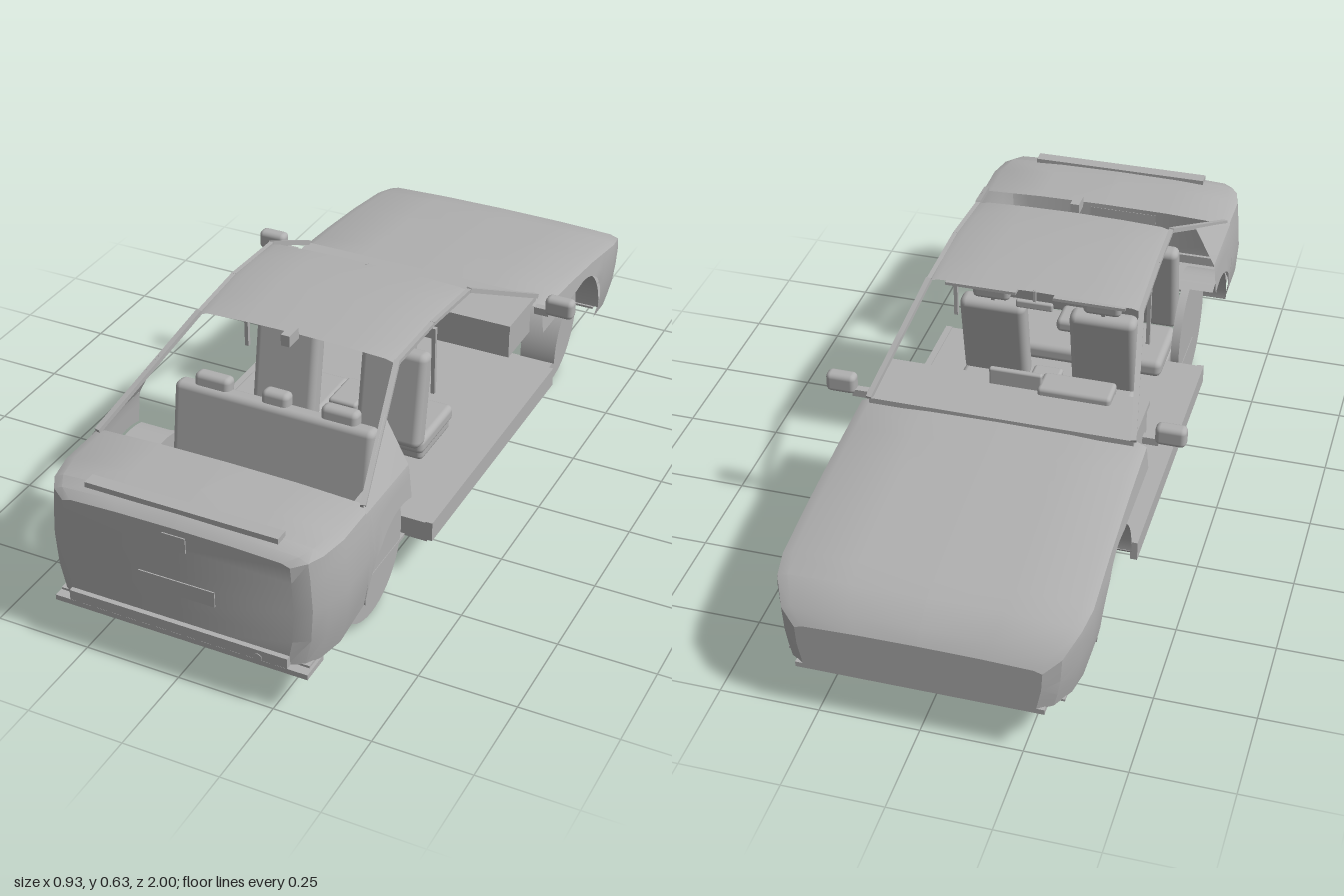
import * as THREE from 'three';
import { toCreasedNormals } from 'three/addons/utils/BufferGeometryUtils.js';
import { RoundedBoxGeometry } from 'three/addons/geometries/RoundedBoxGeometry.js';

const WHEEL_R = 0.165, ARCH_R = 0.172, REAR_AXLE = 0.583, FRONT_AXLE = -0.6;

export function createModel() {
  const car = new THREE.Group();
  car.name = 'car';
  const grey = new THREE.MeshStandardMaterial({ color: 0xb0b0b0, side: THREE.DoubleSide });
  grey.name = 'grey';

  const add = (name, geo, x = 0, y = 0, z = 0, tilt = 0) => {
    const m = new THREE.Mesh(geo, grey);
    m.name = name;
    m.position.set(x, y, z);
    m.rotation.x = tilt;
    car.add(m);
    return m;
  };
  // box given by its extents
  const box = (name, x0, x1, y0, y1, z0, z1) =>
    add(name, new THREE.BoxGeometry(x1 - x0, y1 - y0, z1 - z0), (x0 + x1) / 2, (y0 + y1) / 2, (z0 + z1) / 2);
  const soft = (name, w, h, d, x, y, z, tilt = 0) =>
    add(name, new RoundedBoxGeometry(w, h, d, 3, Math.min(w, h, d) * 0.35), x, y, z, tilt);
  // square bar between two points
  const bar = (name, a, b, w, d) => {
    const p = new THREE.Vector3(...a), q = new THREE.Vector3(...b);
    const m = add(name, new THREE.BoxGeometry(w, d, p.distanceTo(q)));
    m.position.copy(p).add(q).multiplyScalar(0.5);
    m.lookAt(q);
  };
  // surface through rows of points
  const skin = (name, rows, flip = false) => {
    const pos = [], idx = [], n = rows[0].length;
    rows.forEach((r) => r.forEach((p) => pos.push(...p)));
    for (let i = 0; i < rows.length - 1; i++) {
      for (let j = 0; j < n - 1; j++) {
        const a = i * n + j, b = a + 1, c = a + n, d = c + 1;
        if (flip) idx.push(a, b, c, b, d, c);
        else idx.push(a, c, b, b, c, d);
      }
    }
    const g = new THREE.BufferGeometry();
    g.setAttribute('position', new THREE.Float32BufferAttribute(pos, 3));
    g.setIndex(idx);
    g.computeVertexNormals();
    add(name, toCreasedNormals(g, 0.5));
  };

  // body side half-width by height
  const sideX = [[0.1, 0.345], [0.2, 0.37], [0.3, 0.377], [0.41, 0.367], [0.45, 0.355]];
  const lerpTable = (t, v, k) => {
    let i = 0;
    while (i < t.length - 2 && v > t[i + 1][0]) i++;
    const f = Math.min(1, Math.max(0, (v - t[i][0]) / (t[i + 1][0] - t[i][0])));
    return t[i][k] + (t[i + 1][k] - t[i][k]) * f;
  };

  // half body shell: stations are [z, width scale, shoulder y, crown y, bottom y]
  function shell(name, stations, z0, z1, axle, top, capped, lift) {
    const zs = new Set([z0, z1]);
    for (const s of stations) if (s[0] > z0 && s[0] < z1) zs.add(s[0]);
    for (let i = 0; i <= 24; i++) {
      const z = axle + ARCH_R * Math.cos((i / 24) * Math.PI);
      if (z > z0 && z < z1) zs.add(z);
    }
    const list = [...zs].sort((a, b) => a - b);
    for (const s of [1, -1]) {
      const section = (z, flat) => {
        const w = lerpTable(stations, z, 1), sh = lerpTable(stations, z, 2);
        const cr = lerpTable(stations, z, 3);
        let yb = lerpTable(stations, z, 4);
        const d = Math.abs(z - axle);
        if (d < ARCH_R) yb = Math.max(yb, WHEEL_R + Math.sqrt(ARCH_R ** 2 - d * d));
        if (lift && z > axle) yb = Math.max(yb, 0.333);
        const pts = [0, 0.25, 0.55, 0.85, 1].map((t) => {
          const y = yb + (sh - yb) * t;
          return [flat ? 0 : s * w * lerpTable(sideX, y, 1), y, z];
        });
        if (top) {
          const ex = pts[4][0];
          for (const [u, v] of [[0.93, 0.55], [0.5, 0.9], [0, 1]]) pts.push([ex * u, sh + (cr - sh) * v, z]);
        }
        return pts;
      };
      const rows = list.map((z) => section(z, false));
      if (capped === 'rear') rows.push(section(z1, true));
      if (capped === 'front') rows.unshift(section(z0, true));
      skin(name, rows, s > 0);
    }
  }

  const rear = [[0.525, 1, 0.418, 0.43, 0.13], [0.73, 1, 0.422, 0.44, 0.13], [0.86, 1, 0.422, 0.445, 0.13],
    [0.93, 0.96, 0.42, 0.443, 0.13], [0.965, 0.9, 0.415, 0.435, 0.13], [0.985, 0.8, 0.405, 0.418, 0.13]];
  const front = [[-1, 0.79, 0.25, 0.262, 0.14], [-0.975, 0.89, 0.28, 0.295, 0.138], [-0.915, 0.97, 0.32, 0.335, 0.133],
    [-0.85, 1, 0.333, 0.35, 0.13], [-0.68, 1, 0.36, 0.378, 0.13], [-0.5, 1, 0.38, 0.4, 0.13], [-0.305, 1, 0.395, 0.418, 0.13]];
  shell('rearQuarterPanel', rear, 0.525, 0.73, REAR_AXLE, false, '', false);
  shell('rearBody', rear, 0.73, 0.985, REAR_AXLE, true, 'rear', false);
  shell('frontBody', front, -1, -0.305, FRONT_AXLE, true, 'front', true);

  // roof
  const roof = [[-0.01, 0.6, 0.285], [0.09, 0.613, 0.281], [0.2, 0.618, 0.277], [0.3, 0.615, 0.273], [0.39, 0.606, 0.268]];
  skin('roof', roof.map(([z, y, w]) => [-1, -0.9, -0.5, 0, 0.5, 0.9, 1].map((u) =>
    [u * w, y - (Math.abs(u) === 1 ? 0.014 : 0.008 * u * u), z])));

  for (const s of [1, -1]) {
    // pillars and sail panel
    bar('windscreenPillar', [s * 0.34, 0.425, -0.33], [s * 0.28, 0.592, -0.01], 0.014, 0.012);
    bar('rearPillar', [s * 0.352, 0.432, 0.74], [s * 0.268, 0.597, 0.385], 0.014, 0.012);
    bar('roofRail', [s * 0.28, 0.59, -0.01], [s * 0.275, 0.604, 0.2], 0.012, 0.01);
    bar('roofRail', [s * 0.275, 0.604, 0.2], [s * 0.268, 0.594, 0.39], 0.012, 0.01);
    skin('sailPanel', [[[s * 0.365, 0.418, 0.525], [s * 0.365, 0.42, 0.75]],
      [[s * 0.302, 0.54, 0.525], [s * 0.355, 0.435, 0.745]]], s > 0);

    // wheels and wheel housings
    for (const z of [REAR_AXLE, FRONT_AXLE]) {
      add('wheel', new THREE.CylinderGeometry(WHEEL_R, WHEEL_R, 0.023, 48).rotateZ(Math.PI / 2), s * 0.287, WHEEL_R, z);
      add('wheelHousing', new THREE.CylinderGeometry(ARCH_R, ARCH_R, 0.1, 32, 1, true, 0,
        z > 0 ? 1.9 : Math.PI).rotateZ(Math.PI / 2), s * 0.315, WHEEL_R, z);
    }

    // sills, door mirrors, belt posts, sun visors
    box('sill', s * 0.365 - 0.009, s * 0.365 + 0.009, 0.115, 0.168, -0.4, 0.4);
    soft('doorMirror', 0.078, 0.053, 0.038, s * 0.425, 0.433, -0.289);
    box('mirrorStalk', s * 0.375 - 0.02, s * 0.375 + 0.02, 0.4, 0.42, -0.3, -0.28);
    box('beltPost', s * 0.264 - 0.005, s * 0.264 + 0.005, 0.38, 0.568, 0.155, 0.166);
    box('sunVisor', s * 0.143 - 0.094, s * 0.143 + 0.094, 0.581, 0.589, -0.01, 0.05);

    // front seats
    const x = s * 0.15;
    soft('frontSeatBase', 0.17, 0.04, 0.18, x, 0.18, 0.07);
    soft('frontSeatCushion', 0.18, 0.045, 0.2, x, 0.207, 0.07);
    soft('frontSeatBack', 0.18, 0.26, 0.055, x, 0.34, 0.15, -0.17);
    soft('frontHeadrest', 0.102, 0.066, 0.042, x, 0.514, 0.118, -0.1);
    bar('headrestPost', [x, 0.45, 0.13], [x, 0.5, 0.12], 0.01, 0.01);
  }

  // floor
  box('floor', -0.36, 0.36, 0.11, 0.165, -0.37, 0.4);
  skin('floorNose', [[[-0.36, 0.11, -0.37], [0.36, 0.11, -0.37]], [[-0.36, 0.165, -0.43], [0.36, 0.165, -0.43]],
    [[-0.36, 0.165, -0.37], [0.36, 0.165, -0.37]]]);
  box('rearFloor', -0.3, 0.3, 0.106, 0.115, 0.4, 0.61);

  // rear bench
  soft('benchBase', 0.54, 0.045, 0.2, 0, 0.145, 0.41);
  soft('benchCushion', 0.54, 0.05, 0.2, 0, 0.188, 0.41);
  soft('benchBack', 0.54, 0.27, 0.05, 0, 0.335, 0.515, -0.15);
  for (const [x, w] of [[-0.172, 0.097], [0, 0.073], [0.172, 0.097]])
    soft('rearHeadrest', w, 0.045, 0.04, x, 0.477, 0.488, -0.1);
  soft('rearArmrest', 0.096, 0.04, 0.09, 0, 0.235, 0.43);

  // dashboard, console and steering
  box('dashboard', -0.335, 0.335, 0.325, 0.41, -0.305, -0.16);
  box('dashTop', -0.34, 0.34, 0.41, 0.425, -0.33, -0.15);
  box('centreStack', -0.055, 0.055, 0.165, 0.33, -0.2, -0.148);
  box('console', -0.05, 0.05, 0.16, 0.24, -0.16, 0.03);
  soft('consoleArmrest', 0.08, 0.025, 0.12, 0, 0.257, 0.085);
  soft('instrumentHood', 0.19, 0.03, 0.08, -0.155, 0.43, -0.165);
  soft('screen', 0.138, 0.055, 0.016, 0, 0.443, -0.18);
  soft('steeringHub', 0.09, 0.03, 0.045, -0.155, 0.36, -0.132, 0.6);

  // inside mirror and roof fin
  soft('insideMirror', 0.097, 0.022, 0.014, 0, 0.557, -0.005);
  box('mirrorPost', -0.003, 0.003, 0.56, 0.602, -0.008, 0);
  box('roofFin', -0.012, 0.012, 0.598, 0.628, 0.395, 0.442);

  // bumpers, spoiler, plates and exhaust
  box('rearValance', -0.335, 0.335, 0.108, 0.122, 0.91, 0.99);
  box('rearBumperStrip', -0.288, 0.288, 0.13, 0.157, 0.975, 0.998);
  box('rearUnderside', -0.33, 0.33, 0.126, 0.132, 0.82, 0.97);
  box('frontLip', -0.3, 0.3, 0.128, 0.142, -1, -0.93);
  box('frontUnderside', -0.335, 0.335, 0.132, 0.138, -0.95, -0.81);
  box('spoiler', -0.25, 0.25, 0.436, 0.45, 0.92, 0.955);
  box('numberPlate', -0.1, 0.1, 0.232, 0.273, 0.984, 0.988);
  box('bootPanel', -0.03, 0.03, 0.36, 0.4, 0.984, 0.988);
  add('exhaust', new THREE.CylinderGeometry(0.011, 0.011, 0.08, 6).rotateX(Math.PI / 2), 0.213, 0.137, 0.96);

  return car;
}
